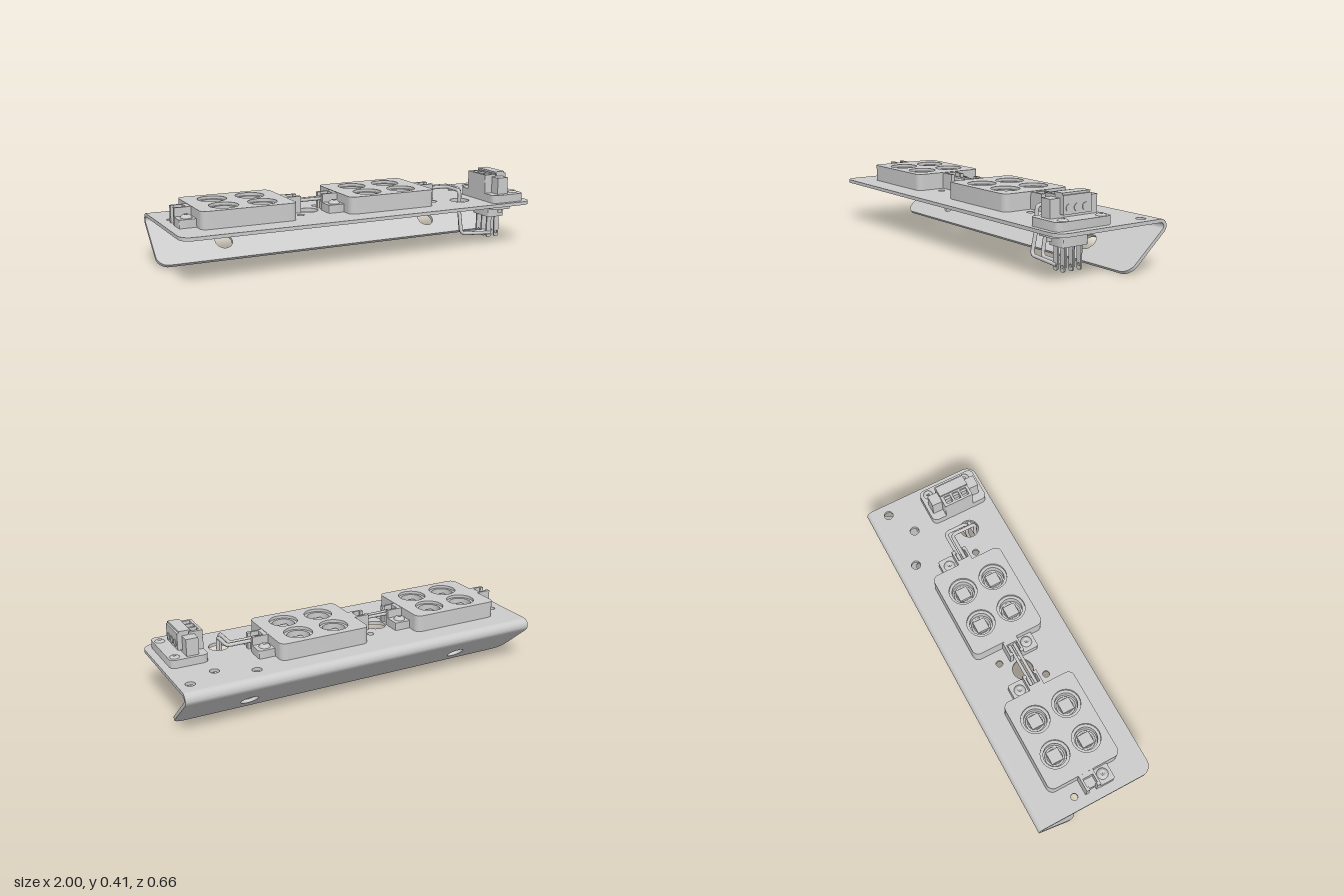
import * as THREE from 'three';
import { toCreasedNormals } from 'three/addons/utils/BufferGeometryUtils.js';

const material = new THREE.MeshStandardMaterial({ color: 0xcccccc });

function add(parent, name, geometry, x = 0, y = 0, z = 0) {
  const mesh = new THREE.Mesh(geometry, material);
  mesh.name = name;
  mesh.position.set(x, y, z);
  parent.add(mesh);
  return mesh;
}

// box given by its limits on each axis
function block(parent, name, [x0, x1], [y0, y1], [z0, z1]) {
  return add(parent, name, new THREE.BoxGeometry(x1 - x0, y1 - y0, z1 - z0),
    (x0 + x1) / 2, (y0 + y1) / 2, (z0 + z1) / 2);
}

function cylinder(parent, name, r, y0, y1, x, z, rBottom = r) {
  return add(parent, name, new THREE.CylinderGeometry(r, rBottom, y1 - y0, 24), x, (y0 + y1) / 2, z);
}

// rectangle with radius rLow on its lower corners and rHigh on its upper ones
function roundRect(x0, x1, y0, y1, rLow, rHigh = rLow) {
  const s = new THREE.Shape();
  const q = Math.PI / 2;
  const corner = (x, y, r, a) => (r > 0 ? s.absarc(x, y, r, a, a + q, false) : s.lineTo(x, y));
  s.moveTo(x0 + rLow, y0);
  corner(x1 - rLow, y0 + rLow, rLow, -q);
  corner(x1 - rHigh, y1 - rHigh, rHigh, 0);
  corner(x0 + rHigh, y1 - rHigh, rHigh, q);
  corner(x0 + rLow, y0 + rLow, rLow, 2 * q);
  s.closePath();
  return s;
}

function drill(shape, holes) {
  for (const [x, y, r] of holes) shape.holes.push(new THREE.Path().absarc(x, y, r, 0, Math.PI * 2, true));
  return shape;
}

const extrude = (shape, depth) =>
  toCreasedNormals(new THREE.ExtrudeGeometry(shape, { depth, bevelEnabled: false, curveSegments: 12 }), 0.6);

// horizontal slab: shape y runs towards -z
const slab = (shape, y0, y1) => extrude(shape, y1 - y0).rotateX(-Math.PI / 2).translate(0, y0, 0);

function wire(parent, name, points, r = 0.009) {
  const path = new THREE.CurvePath();
  const v = points.map((p) => new THREE.Vector3(...p));
  let last = v[0];
  // straight runs with rounded elbows
  for (let i = 1; i < v.length - 1; i++) {
    const bend = 0.025;
    const a = v[i].clone().add(v[i - 1].clone().sub(v[i]).setLength(bend));
    const b = v[i].clone().add(v[i + 1].clone().sub(v[i]).setLength(bend));
    path.add(new THREE.LineCurve3(last, a));
    path.add(new THREE.QuadraticBezierCurve3(a, v[i], b));
    last = b;
  }
  path.add(new THREE.LineCurve3(last, v[v.length - 1]));
  add(parent, name, new THREE.TubeGeometry(path, 90, r, 10, false));
}

function screw(parent, x, y, z, yEnd) {
  const head = [[0, 0.008], [0.008, 0.008], [0.011, 0.019], [0.02, 0.014], [0.027, 0.007], [0.03, 0]];
  add(parent, 'screwHead', new THREE.LatheGeometry(head.map((p) => new THREE.Vector2(...p)).reverse(), 24), x, y, z);
  cylinder(parent, 'screwShank', 0.015, yEnd + 0.006, y, x, z);
  cylinder(parent, 'screwTip', 0.015, yEnd, yEnd + 0.006, x, z, 0.011);
}

function makeBracket() {
  const g = new THREE.Group();
  g.name = 'bracket';
  const cz = -0.295, cy = 0.214, rIn = 0.018, t = 0.018;
  const slope = 0.71, c = Math.cos(slope), s = Math.sin(slope);

  const top = drill(roundRect(-1, 1, -0.33, -cz, 0.06, 0), [
    [-0.215, -0.005, 0.055], [0.65, -0.135, 0.052],
    [-0.93, 0.09, 0.018], [-0.295, -0.1, 0.018], [-0.13, 0.09, 0.018], [0.505, -0.1, 0.018],
    [0.59, 0.225, 0.025], [0.935, 0.225, 0.025], [0.78, 0.14, 0.025],
  ]);
  add(g, 'topPlate', slab(top, cy + rIn, cy + rIn + t));

  // rolled bend along the back edge
  const bend = new THREE.Shape();
  const end = -Math.PI / 2 + slope;
  bend.absarc(-cz, cy, rIn + t, Math.PI / 2, end, true);
  bend.absarc(-cz, cy, rIn, end, Math.PI / 2, false);
  add(g, 'bend', extrude(bend, 2).rotateY(Math.PI / 2).translate(-1, 0, 0));

  // sloping rear flange folded back underneath
  const length = 0.285;
  const flange = drill(roundRect(-1, 1, 0, length, 0, 0.06),
    [[-0.62, length - 0.113, 0.047], [0.62, length - 0.113, 0.047]]);
  const frame = new THREE.Matrix4().makeBasis(
    new THREE.Vector3(1, 0, 0), new THREE.Vector3(0, -s, c), new THREE.Vector3(0, -c, -s));
  frame.setPosition(0, cy - rIn * c, cz - rIn * s);
  add(g, 'rearFlange', extrude(flange, t).applyMatrix4(frame));
  return g;
}

function makeLightModule() {
  const g = new THREE.Group();
  g.name = 'lightModule';
  const spots = [[-0.1, -0.09], [0.105, -0.09], [-0.1, 0.09], [0.105, 0.09]];
  const outline = (r) => drill(roundRect(-0.252, 0.252, -0.202, 0.202, 0.035), spots.map(([x, z]) => [x, -z, r]));
  add(g, 'housing', slab(outline(0.06), 0.25, 0.325));
  add(g, 'housingRim', slab(outline(0.075), 0.325, 0.34));
  for (const [x, z] of spots) {
    cylinder(g, 'lampSeat', 0.061, 0.25, 0.285, x, z);
    add(g, 'lampRing', new THREE.TorusGeometry(0.045, 0.006, 8, 28).rotateX(Math.PI / 2), x, 0.287, z);
    block(g, 'lampChip', [x - 0.033, x + 0.033], [0.285, 0.305], [z - 0.033, z + 0.033]);
  }
  // matching mounting ears, turned half round from one another
  for (const turn of [0, Math.PI]) {
    const ear = new THREE.Group();
    ear.name = 'mountingEar';
    ear.rotation.y = turn;
    add(ear, 'screwTab', slab(roundRect(0.245, 0.34, 0.037, 0.125, 0.012), 0.25, 0.293));
    screw(ear, 0.29, 0.293, -0.079, 0.18);
    block(ear, 'wireChannelFloor', [0.245, 0.325], [0.25, 0.29], [-0.04, 0.042]);
    block(ear, 'wireChannelRoot', [0.245, 0.275], [0.25, 0.338], [-0.04, 0.042]);
    for (const z of [-0.04, 0.03]) block(ear, 'wireChannelWall', [0.27, 0.325], [0.25, 0.338], [z, z + 0.012]);
    for (const z of [-0.04, 0.022]) block(ear, 'wireChannelLip', [0.32, 0.338], [0.25, 0.338], [z, z + 0.02]);
    g.add(ear);
  }
  return g;
}

function makeConnector() {
  const g = new THREE.Group();
  g.name = 'connector';
  add(g, 'flange', slab(roundRect(0.76, 0.96, -0.305, 0.024, 0.03), 0.25, 0.293));
  for (const z of [0.02, 0.247]) {
    screw(g, 0.925, 0.285, z, 0.235);
    cylinder(g, 'flangePost', 0.024, 0.29, 0.3, 0.84, z);
    cylinder(g, 'mountingPeg', 0.013, 0.185, 0.235, 0.84, z === 0.02 ? 0.028 : 0.253);
  }
  block(g, 'socketShell', [0.805, 0.87], [0.293, 0.383], [-0.005, 0.275]);
  block(g, 'plugBody', [0.835, 0.895], [0.308, 0.398], [0.052, 0.218]);
  block(g, 'plugCap', [0.825, 0.885], [0.398, 0.408], [0.052, 0.218]);
  // row of square wire entries on the inner side
  const entries = roundRect(0.76, 0.83, -0.218, -0.052, 0.004);
  for (const z of [0.088, 0.137, 0.185]) {
    entries.holes.push(roundRect(0.773, 0.818, -z - 0.018, -z + 0.018, 0.002));
    add(g, 'clampScrew', new THREE.CylinderGeometry(0.019, 0.019, 0.004, 24).rotateZ(Math.PI / 2), 0.896, 0.338, z);
  }
  add(g, 'entryBlock', slab(entries, 0.35, 0.395));
  block(g, 'entryBase', [0.76, 0.83], [0.293, 0.35], [0.052, 0.218]);
  // underside of the socket
  add(g, 'lowerCollar', slab(roundRect(0.785, 0.895, -0.275, -0.005, 0.01), 0.206, 0.235));
  add(g, 'lowerBody', slab(roundRect(0.79, 0.89, -0.215, -0.064, 0.008), 0.155, 0.21));
  // solder lugs with an eye at the tip
  for (const z of [0.091, 0.14, 0.189]) {
    for (const x of [0.812, 0.862]) {
      const lug = drill(roundRect(x - 0.015, x + 0.015, 0.034, 0.16, 0.014, 0), [[x, 0.06, 0.008]]);
      add(g, 'solderLug', extrude(lug, 0.009), 0, 0, z - 0.0045);
    }
  }
  return g;
}

export function createModel() {
  const model = new THREE.Group();
  model.name = 'lightBar';
  model.add(makeBracket());
  for (const x of [-0.61, 0.19]) {
    const unit = makeLightModule();
    unit.position.set(x, 0, 0.007);
    model.add(unit);
  }
  model.add(makeConnector());
  // wires linking the two modules, then running down through the plate to the lugs
  for (const k of [0, 1]) {
    const z = -0.006 + 0.027 * k;
    wire(model, 'linkWire', [[-0.34, 0.31, z], [-0.08, 0.31, z]]);
    const x = 0.657 - 0.025 * k, zTop = 0.122 + 0.04 * k, zLow = 0.145 + 0.044 * k;
    wire(model, 'supplyWire', [[0.46, 0.31, z], [x, 0.31, z], [x, 0.31, zTop], [x, 0.2, zTop],
      [x, 0.065 + 0.008 * k, zLow], [0.82, 0.06, zLow]], 0.01);
  }
  return model;
}
